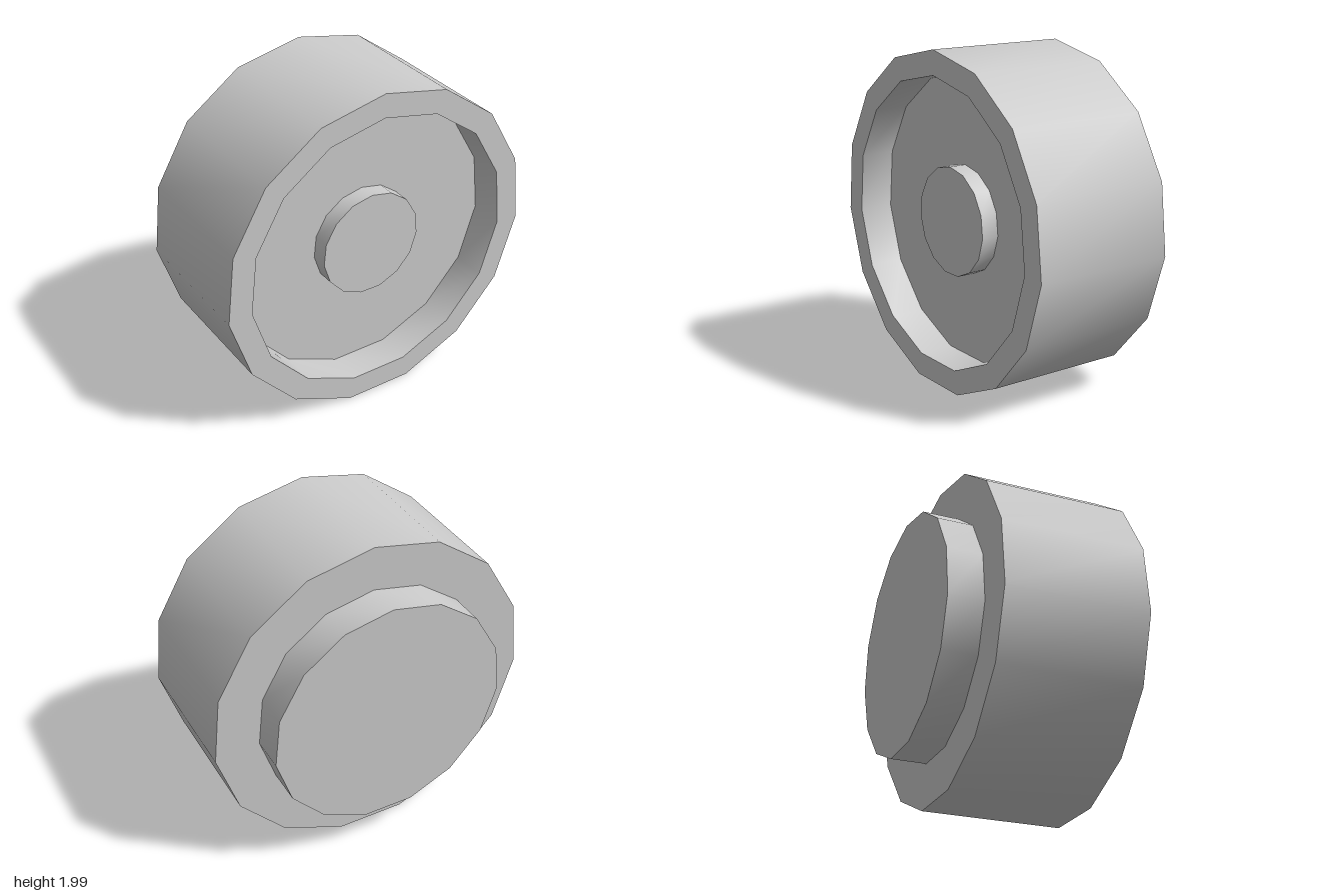
import * as THREE from 'three';
import { toCreasedNormals } from 'three/addons/utils/BufferGeometryUtils.js';

const SIDES = 15;
const R = 1 / Math.cos(Math.PI / 30);            // overall width is 2
const CENTER_Y = R * Math.cos(Math.PI / SIDES);  // rests on its lowest flat side

// Turn a profile of [radius, z] points, listed from the back to the front
function turned(name, profile, material) {
  const points = profile.map(([r, z]) => new THREE.Vector2(r, z));
  const lathe = new THREE.LatheGeometry(points, SIDES, Math.PI, Math.PI * 2);
  lathe.rotateX(Math.PI / 2);
  const mesh = new THREE.Mesh(toCreasedNormals(lathe, 0.6), material);
  mesh.name = name;
  return mesh;
}

export function createModel() {
  const group = new THREE.Group();
  group.name = 'knob';
  const material = new THREE.MeshStandardMaterial({ color: 0xcccccc });

  const back = -0.54, step = -0.325, floor = 0.33, bossTop = 0.435, front = 0.54;
  const collarR = 0.733, recessR = 0.86, bossR = 0.325;

  group.add(
    // wide drum with a raised rim around the recessed front
    turned('drum', [[collarR, step], [R, step], [R, front], [recessR, front], [recessR, floor], [bossR, floor]], material),
    // narrower disc on the back
    turned('backCollar', [[0, back], [collarR, back], [collarR, step]], material),
    // small disc in the middle of the recess
    turned('centerBoss', [[bossR, floor], [bossR, bossTop], [0, bossTop]], material)
  );
  group.children.forEach((part) => { part.position.y = CENTER_Y; });
  return group;
}
